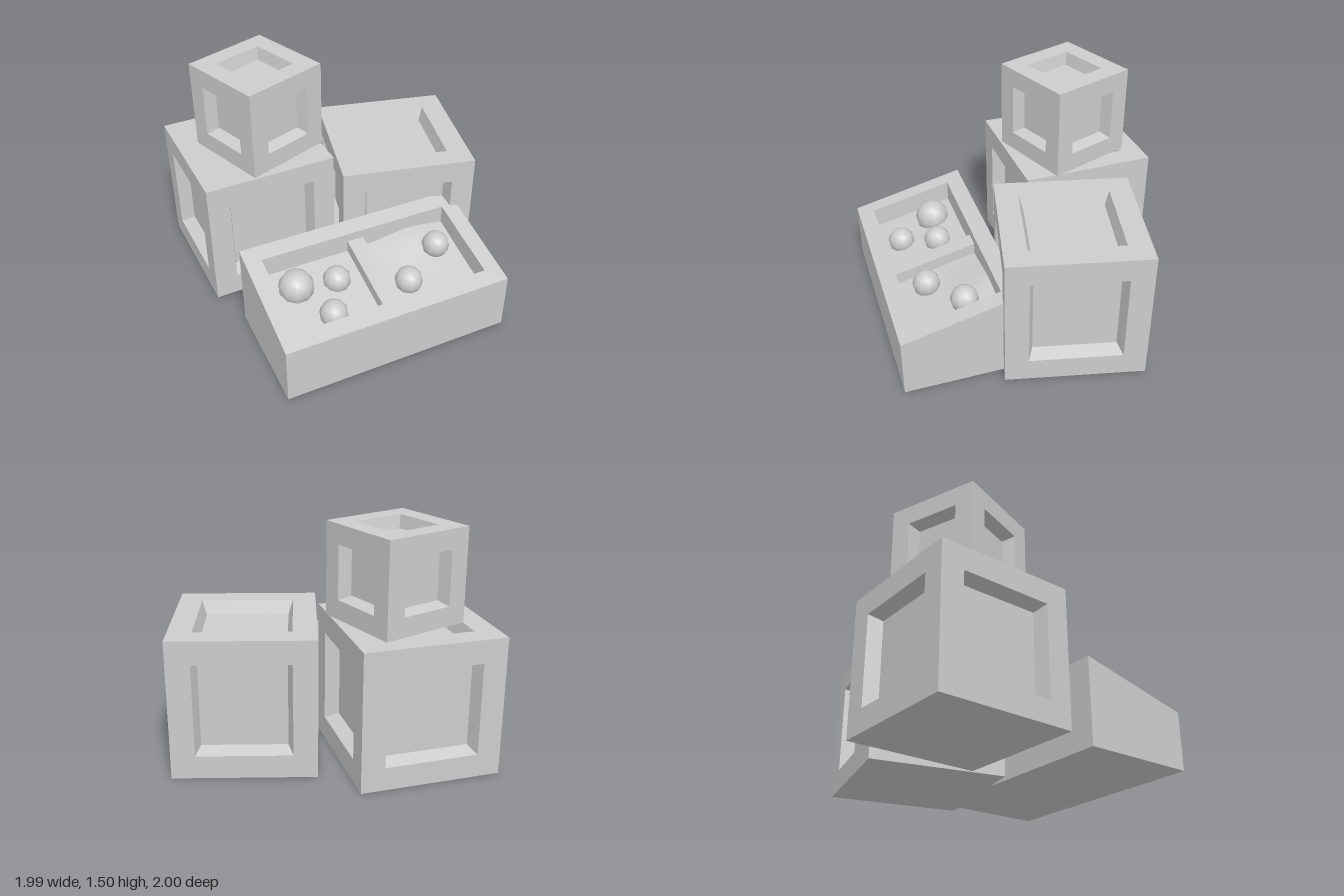
import * as THREE from 'three';
import { mergeGeometries } from 'three/addons/utils/BufferGeometryUtils.js';

const grey = new THREE.MeshStandardMaterial({ color: 0xcccccc });
grey.name = 'plain grey';

function add(parent, name, geometry) {
  const mesh = new THREE.Mesh(geometry, grey);
  mesh.name = name;
  parent.add(mesh);
  return mesh;
}

function faceted(geometry) {
  const flat = geometry.index ? geometry.toNonIndexed() : geometry;
  flat.computeVertexNormals();
  return flat;
}

// Square panel facing +y with a tapered recess, moved out to the crate face
function recessedPanel(size, opening, taper, depth) {
  const half = size / 2;
  const profile = [[half, 0], [opening / 2, 0], [opening / 2 - taper, -depth], [0, -depth]]
    .map(([r, y]) => new THREE.Vector2(r * Math.SQRT2, y));
  return faceted(new THREE.LatheGeometry(profile, 4, Math.PI / 4)).translate(0, half, 0);
}

// Crate with recesses on four sides and the top, and a flat bottom
function crate(name, size, opening, taper, depth, x, y, z, turn) {
  const panel = recessedPanel(size, opening, taper, depth);
  const faces = [panel];
  for (let i = 0; i < 4; i++) {
    faces.push(panel.clone().rotateX(Math.PI / 2).rotateY(i * Math.PI / 2));
  }
  const bottom = new THREE.PlaneGeometry(size, size).rotateX(Math.PI / 2).translate(0, -size / 2, 0);
  faces.push(faceted(bottom));
  const group = new THREE.Group();
  group.name = name;
  add(group, name + 'Body', mergeGeometries(faces));
  group.position.set(x, y + size / 2, z);
  group.rotation.y = turn;
  return group;
}

// Height of the sloping tray rim, and of the lumpy filling below it
const rimY = (z) => 0.4825 - 0.24 * z;
const fillY = (x, z) =>
  rimY(z) - 0.14 + 0.045 * Math.exp(-((x - 0.4) ** 2) / 0.05 - ((z + 0.25) ** 2) / 0.04);

// Tray shell: four-cornered loops from the base, over the rim, down inside
function trayShell(hx, hz, ix, iz) {
  const loop = (x, z, height) =>
    [[-x, z], [x, z], [x, -z], [-x, -z]].map(([px, pz]) => [px, height(pz), pz]);
  const loops = [
    loop(0, 0, () => 0),
    loop(hx, hz, () => 0),
    loop(hx, hz, rimY),
    loop(ix, iz, rimY),
    loop(ix, iz, (z) => rimY(z) - 0.2),
  ];
  const points = [];
  for (let j = 0; j < loops.length - 1; j++) {
    for (let i = 0; i < 4; i++) {
      const k = (i + 1) % 4;
      const [a, b, c, d] = [loops[j][i], loops[j][k], loops[j + 1][k], loops[j + 1][i]];
      points.push(...a, ...b, ...c, ...a, ...c, ...d);
    }
  }
  const geometry = new THREE.BufferGeometry();
  geometry.setAttribute('position', new THREE.Float32BufferAttribute(points, 3));
  return faceted(geometry);
}

function displayTray() {
  const tray = new THREE.Group();
  tray.name = 'displayTray';
  add(tray, 'trayShell', trayShell(0.767, 0.386, 0.657, 0.278));

  // Filling
  const fill = new THREE.PlaneGeometry(1.314, 0.556, 28, 12).rotateX(-Math.PI / 2);
  const fp = fill.attributes.position;
  for (let i = 0; i < fp.count; i++) fp.setY(i, fillY(fp.getX(i), fp.getZ(i)));
  fill.computeVertexNormals();
  add(tray, 'filling', fill);

  // Divider, its top parallel to the rim
  const divider = new THREE.BoxGeometry(0.113, 0.1, 0.556);
  const dp = divider.attributes.position;
  for (let i = 0; i < dp.count; i++) {
    dp.setY(i, rimY(dp.getZ(i)) - (dp.getY(i) > 0 ? 0.06 : 0.18));
  }
  add(tray, 'divider', faceted(divider));

  // Round goods: x, y, z, radius
  const goods = [
    [-0.493, 0.395, -0.116, 0.117],
    [-0.224, 0.38, -0.086, 0.092],
    [-0.351, 0.335, 0.145, 0.092],
    [0.204, 0.36, 0.095, 0.092],
    [0.502, 0.42, -0.084, 0.092],
  ];
  for (const [x, y, z, r] of goods) {
    add(tray, 'roundFruit', new THREE.SphereGeometry(r, 10, 8)).position.set(x, y, z);
  }
  tray.position.set(0.01, 0, 0.56);
  tray.rotation.y = 0.072;
  return tray;
}

export function createModel() {
  const model = new THREE.Group();
  model.name = 'crateStack';
  model.add(
    crate('rightCrate', 0.896, 0.597, 0.03, 0.09, -0.505, 0, -0.51, 0.1),
    crate('leftCrate', 0.896, 0.597, 0.03, 0.09, 0.48, 0, -0.25, -0.158),
    crate('smallCrate', 0.602, 0.35, 0.02, 0.085, -0.422, 0.896, -0.465, 0.427),
    displayTray(),
  );
  return model;
}
